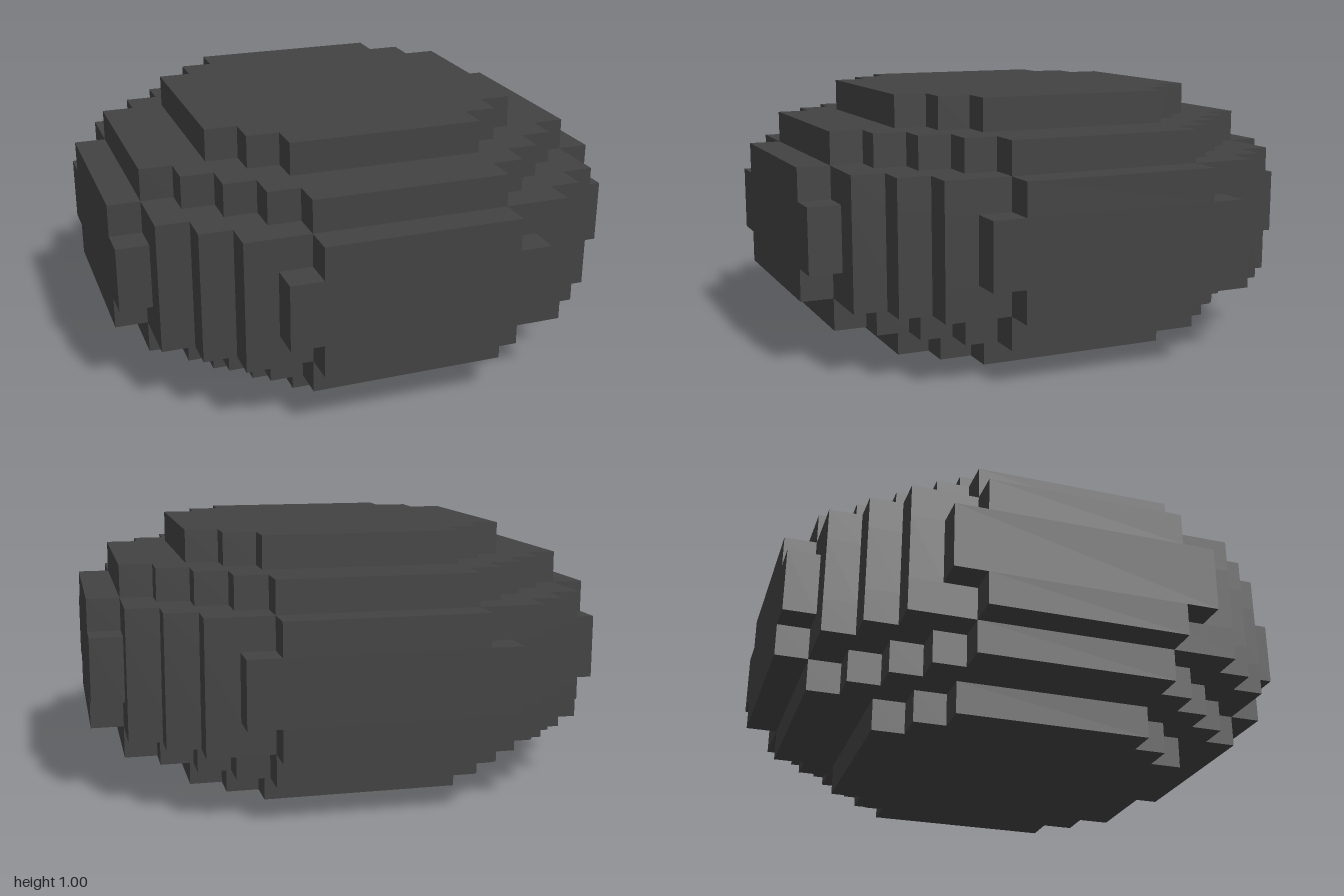
import * as THREE from 'three';

const U = 0.125; // size of one block

// Stepped outline: corners [x, z] of one quadrant, turned four times
function steppedShape(corners) {
  const quadrant = [];
  corners.forEach(([x, y], i) => {
    if (i > 0) quadrant.push([x, corners[i - 1][1]]);
    quadrant.push([x, y]);
  });
  const points = [];
  for (let turn = 0; turn < 4; turn++) {
    for (const [x, y] of quadrant) {
      const [px, py] = [[x, y], [-y, x], [-x, -y], [y, -x]][turn];
      points.push(new THREE.Vector2(px * U, py * U));
    }
  }
  return new THREE.Shape(points);
}

export function createModel() {
  const group = new THREE.Group();
  group.name = 'blockyRoundBody';
  const charcoal = new THREE.MeshStandardMaterial({ color: 0x424242 });
  charcoal.name = 'charcoal';

  const cap = [[5, 3], [4, 4], [3, 5]];
  const shoulder = [[7, 3], [6, 4], [5, 5], [4, 6], [3, 7]];
  const rim = [[8, 3], [7, 5], [6, 6], [5, 7], [3, 8]];
  const belt = [[8, 4], [7, 5], [6, 6], [5, 7], [4, 8]];

  // name, outline, bottom and height in blocks
  const layers = [
    ['bottomCap', cap, 0, 1],
    ['lowerShoulder', shoulder, 1, 1],
    ['lowerRim', rim, 2, 1],
    ['middleBelt', belt, 3, 2],
    ['upperRim', rim, 5, 1],
    ['upperShoulder', shoulder, 6, 1],
    ['topCap', cap, 7, 1],
  ];
  for (const [name, corners, bottom, height] of layers) {
    const geometry = new THREE.ExtrudeGeometry(steppedShape(corners), {
      depth: height * U,
      bevelEnabled: false,
    });
    geometry.rotateX(-Math.PI / 2);
    const mesh = new THREE.Mesh(geometry, charcoal);
    mesh.name = name;
    mesh.position.y = bottom * U;
    group.add(mesh);
  }
  return group;
}
